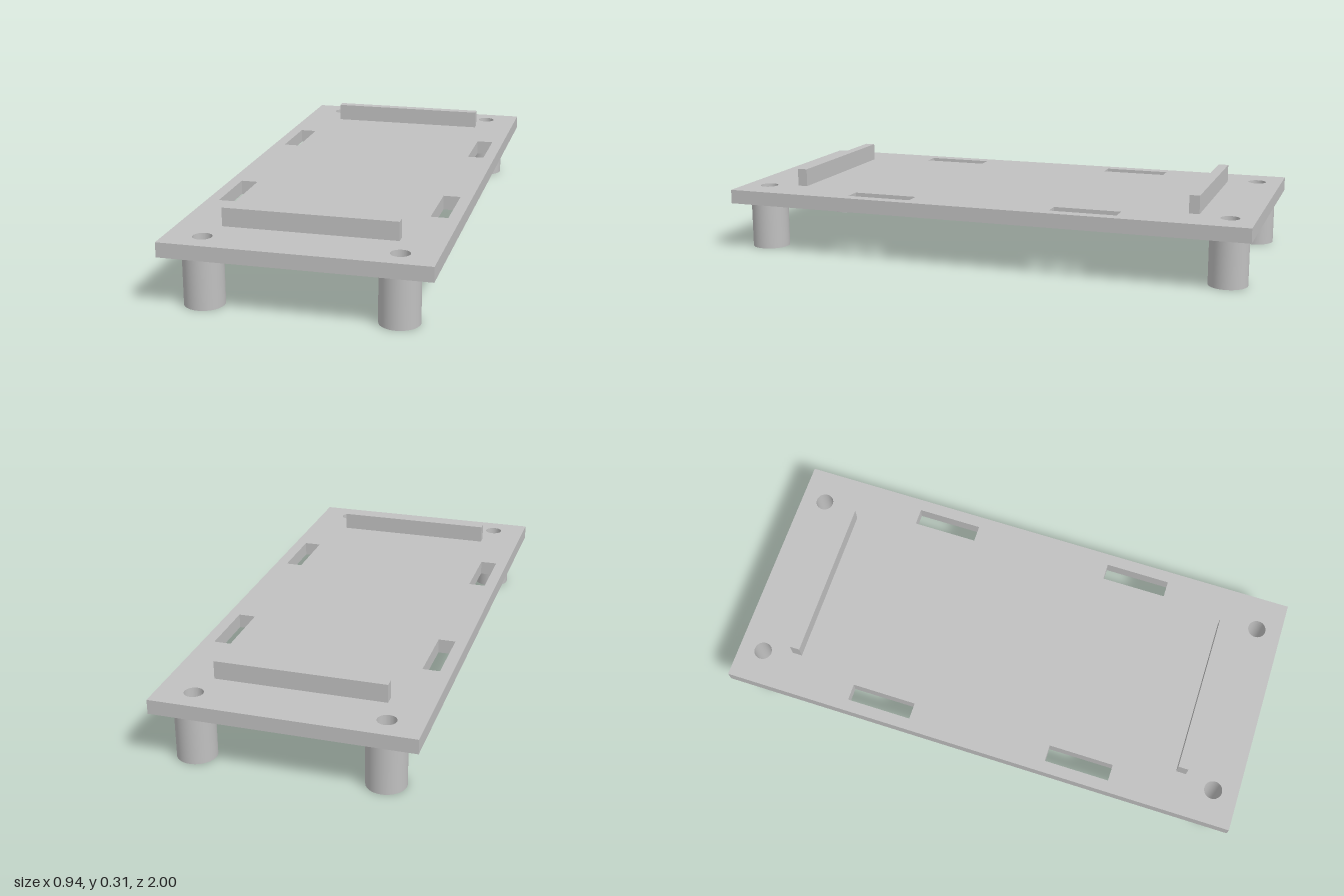
import * as THREE from 'three';

const HALF_W = 0.469, HALF_L = 1;        // plate half width and half length
const BOTTOM = 0.187, TOP = 0.24;        // plate underside and upper face
const LEG_X = 0.339, LEG_Z = 0.906, LEG_R = 0.071, HOLE_R = 0.034;
const CORNERS = [[-1, -1], [1, -1], [1, 1], [-1, 1]];

// Points of a rectangle centred on (x, y)
function rectPoints(x, y, w, h) {
  return CORNERS.map(([sx, sy]) => new THREE.Vector2(x + sx * w / 2, y + sy * h / 2));
}

export function createModel() {
  const model = new THREE.Group();
  model.name = 'mountingPlate';
  const grey = new THREE.MeshStandardMaterial({ color: 0xc0c0c0 });
  grey.name = 'light grey';

  function add(name, geometry, x = 0, y = 0, z = 0) {
    const mesh = new THREE.Mesh(geometry, grey);
    mesh.name = name;
    mesh.position.set(x, y, z);
    model.add(mesh);
  }

  // Plate pierced by four screw holes and four strap slots
  const outline = new THREE.Shape(rectPoints(0, 0, HALF_W * 2, HALF_L * 2));
  for (const [sx, sz] of CORNERS) {
    outline.holes.push(
      new THREE.Path().absarc(sx * LEG_X, sz * LEG_Z, HOLE_R, 0, Math.PI * 2, true),
      new THREE.Path(rectPoints(sx * 0.393, sz * 0.396, 0.063, 0.249))
    );
  }
  const plate = new THREE.ExtrudeGeometry(outline, {
    depth: TOP - BOTTOM, bevelEnabled: false, curveSegments: 24
  });
  plate.rotateX(-Math.PI / 2);
  add('plate', plate, 0, BOTTOM, 0);

  // Hollow legs: bore, bottom ring, outer wall (doubled points keep edges sharp)
  const profile = [
    [HOLE_R, BOTTOM], [HOLE_R, 0], [HOLE_R, 0], [LEG_R, 0], [LEG_R, 0], [LEG_R, BOTTOM]
  ].map(([x, y]) => new THREE.Vector2(x, y));
  const leg = new THREE.LatheGeometry(profile, 48);
  for (const [sx, sz] of CORNERS) {
    add(`${sz > 0 ? 'front' : 'back'}${sx > 0 ? 'Left' : 'Right'}Leg`, leg, sx * LEG_X, 0, sz * LEG_Z);
  }

  // Raised stop bars across both ends
  const barHeight = 0.307 - TOP;
  const bar = new THREE.BoxGeometry(0.622, barHeight, 0.038);
  for (const s of [-1, 1]) {
    add(s > 0 ? 'frontBar' : 'backBar', bar, 0, TOP + barHeight / 2, s * 0.774);
  }
  return model;
}
